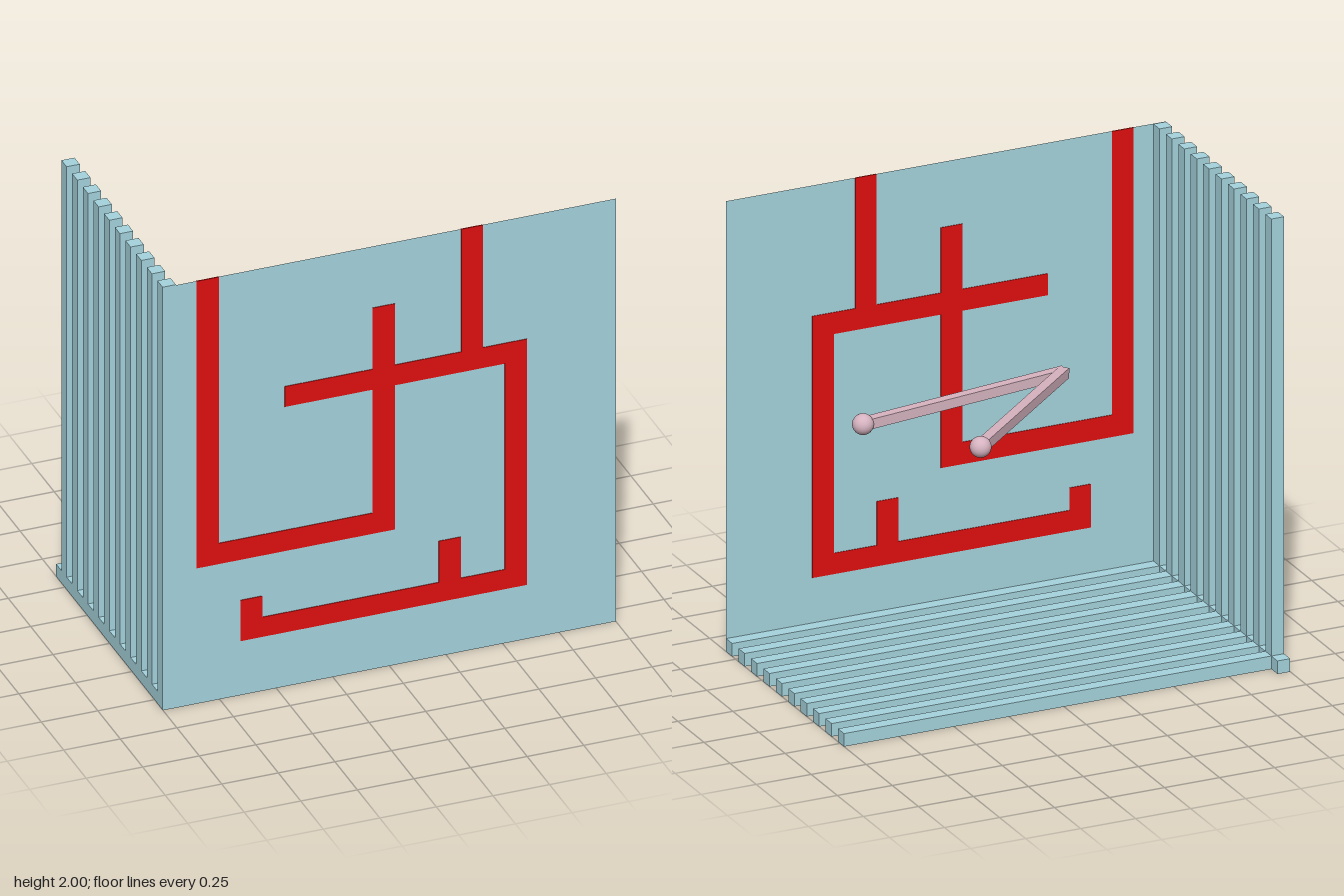
import * as THREE from 'three';

export function createModel() {
  const root = new THREE.Group();
  const blue = new THREE.MeshStandardMaterial({ color: 0xa5d3dd });
  const blueSheet = new THREE.MeshStandardMaterial({ color: 0xa5d3dd, side: THREE.DoubleSide });
  const red = new THREE.MeshStandardMaterial({ color: 0xe00f0f });
  const pink = new THREE.MeshStandardMaterial({ color: 0xd6b3c0 });

  const add = (name, geometry, material, parent = root) => {
    const mesh = new THREE.Mesh(geometry, material);
    mesh.name = name;
    parent.add(mesh);
    return mesh;
  };
  // Box given by its lower and upper corners
  const box = (name, x0, y0, z0, x1, y1, z1, material, parent) => {
    const mesh = add(name, new THREE.BoxGeometry(x1 - x0, y1 - y0, z1 - z0), material, parent);
    mesh.position.set((x0 + x1) / 2, (y0 + y1) / 2, (z0 + z1) / 2);
  };

  // Thin front panel
  const panelZ = 0.595, bar = 0.058;
  add('frontPanel', new THREE.PlaneGeometry(2, 2), blueSheet).position.set(0, 1, panelZ);

  // Red maze of strips showing on both faces of the panel: x0, y0, x1, y1
  const maze = new THREE.Group();
  maze.name = 'redMaze';
  root.add(maze);
  [
    [-0.853, 0.642, -0.755, 2],
    [-0.755, 0.642, -0.075, 0.74],
    [-0.075, 0.642, 0.023, 1.71],
    [-0.463, 1.324, -0.075, 1.42],
    [0.023, 1.324, 0.607, 1.42],
    [0.316, 1.42, 0.412, 2],
    [0.509, 0.257, 0.607, 1.324],
    [-0.658, 0.257, 0.509, 0.35],
    [-0.658, 0.35, -0.562, 0.45],
    [0.217, 0.35, 0.314, 0.545],
  ].forEach(([x0, y0, x1, y1]) =>
    box('mazeStrip', x0, y0, panelZ - 0.003, x1, y1, panelZ + 0.003, red, maze));

  // Corner beam with slatted floor and slatted side wall
  box('cornerBeam', -1, 0, -0.597, -1 + bar, bar, 0.591, blue);
  for (let i = 0; i < 10; i++) {
    const z1 = 0.591 - i * 0.119, z0 = z1 - bar;
    box('floorSlat', -1 + bar, 0, z0, 1, bar, z1, blue);
    box('wallSlat', -1, bar, z0, -1 + bar, 2, z1, blue);
  }

  // Bent rod: two square arms from one elbow, each with a ball at its end
  const elbow = new THREE.Vector3(-0.515, 0.99, 0.545);
  const hands = new THREE.Group();
  hands.name = 'bentRod';
  root.add(hands);
  [[0.4, 0.922, 0.545], [0.16, 1.01, -0.075]].forEach((p) => {
    const end = new THREE.Vector3(...p);
    const arm = add('rodArm', new THREE.BoxGeometry(0.044, 0.044, elbow.distanceTo(end)), pink, hands);
    arm.position.copy(elbow).lerp(end, 0.5);
    arm.lookAt(end);
    add('rodBall', new THREE.SphereGeometry(0.045, 32, 20), pink, hands).position.copy(end);
  });

  return root;
}
